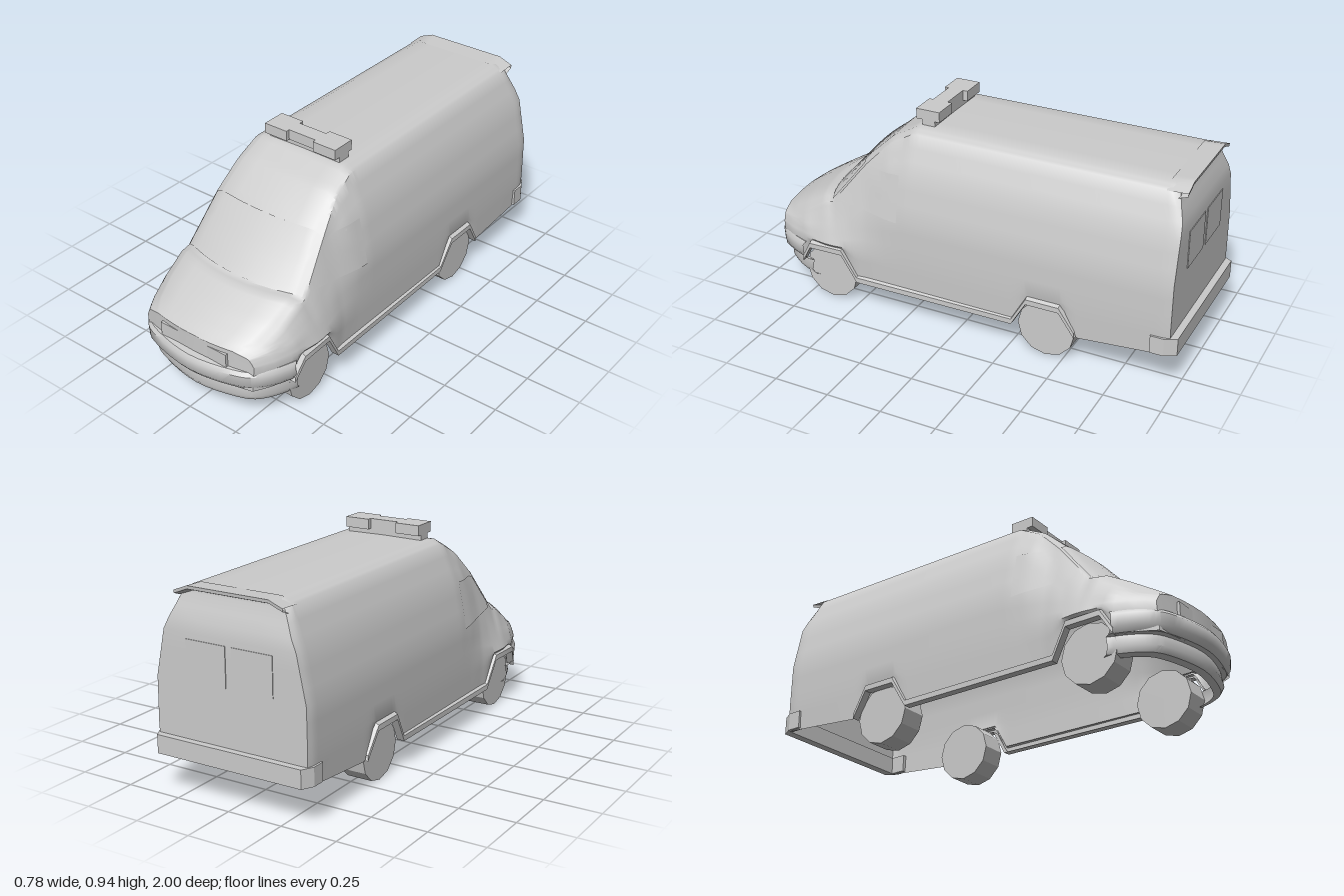
import * as THREE from 'three';
import { toCreasedNormals } from 'three/addons/utils/BufferGeometryUtils.js';

const mat = new THREE.MeshStandardMaterial({ color: 0xcccccc, side: THREE.DoubleSide });
const { lerp, clamp, smoothstep } = THREE.MathUtils;

// Body sections from tail to nose:
// station, backward bend, roof y, roof x, shoulder x/y, mid x/y, waist x/y, belt x, bottom x
const SECTIONS = [
  [-0.97, 0, 0.86, 0.20, 0.24, 0.84, 0.312, 0.69, 0.354, 0.49, 0.357, 0.352],
  [-0.94, 0, 0.87, 0.21, 0.25, 0.85, 0.32, 0.69, 0.362, 0.49, 0.365, 0.36],
  [0.25, 0, 0.87, 0.21, 0.25, 0.85, 0.32, 0.69, 0.362, 0.49, 0.365, 0.36],
  [0.37, 0.02, 0.81, 0.22, 0.26, 0.79, 0.315, 0.67, 0.358, 0.47, 0.365, 0.36],
  [0.50, 0.04, 0.70, 0.24, 0.285, 0.675, 0.31, 0.58, 0.345, 0.45, 0.368, 0.36],
  [0.60, 0.055, 0.59, 0.26, 0.30, 0.57, 0.325, 0.49, 0.35, 0.40, 0.378, 0.365],
  [0.70, 0.07, 0.485, 0.27, 0.315, 0.468, 0.335, 0.42, 0.36, 0.36, 0.385, 0.37],
  [0.74, 0.07, 0.482, 0.27, 0.317, 0.46, 0.34, 0.41, 0.36, 0.36, 0.385, 0.37],
  [0.84, 0.07, 0.425, 0.26, 0.315, 0.395, 0.335, 0.37, 0.355, 0.34, 0.37, 0.355],
  [0.92, 0.07, 0.375, 0.24, 0.295, 0.345, 0.31, 0.335, 0.32, 0.32, 0.335, 0.32],
  [0.96, 0.05, 0.345, 0.20, 0.26, 0.33, 0.27, 0.325, 0.28, 0.31, 0.29, 0.28],
];
const WHEELS = [0.64, -0.42];

function sectionAt(s) {
  let i = 0;
  while (i < SECTIONS.length - 2 && s > SECTIONS[i + 1][0]) i++;
  const a = SECTIONS[i], b = SECTIONS[i + 1];
  const t = clamp((s - a[0]) / (b[0] - a[0]), 0, 1);
  return a.map((v, k) => lerp(v, b[k], t));
}

// Lower body edge, raised over the wheels
function bottomY(z) {
  let y = z > 0.72 ? 0.17 : z < -0.5 ? lerp(0.13, 0.17, (-0.5 - z) / 0.47) : 0.13;
  for (const w of WHEELS) y = Math.max(y, lerp(0.27, 0.13, clamp((Math.abs(z - w) - 0.08) / 0.07, 0, 1)));
  return y;
}

function halfProfile(s) {
  const [, bend, T, tx, sx, sy, mx, my, wx, wy, bx, ox] = sectionAt(s);
  const z = s - bend * (ox / 0.32) ** 2;
  return [[0, T + 0.003], [tx, T], [sx, sy], [mx, my], [wx, wy], [bx, 0.29], [ox, bottomY(z)]];
}

// Point on the body: u runs over the roof from -6 (right sill) to 6 (left sill)
function bodyPoint(s, u, squeeze = 1) {
  const pts = halfProfile(s), k = Math.min(5, Math.floor(Math.abs(u))), t = Math.abs(u) - k;
  const x = Math.sign(u) * lerp(pts[k][0], pts[k + 1][0], t) * squeeze;
  const y = lerp(pts[k][1], pts[k + 1][1], t);
  const tilt = 0.04 * smoothstep(y, 0.7, 0.87) * clamp((-0.8 - s) / 0.17, 0, 1);
  return [x, y, s - sectionAt(s)[1] * (x / 0.32) ** 2 + tilt];
}

function uAtHeight(s, y) {
  const p = halfProfile(s);
  for (let k = 1; k < 6; k++) if (y >= p[k + 1][1]) return k + clamp((p[k][1] - y) / (p[k][1] - p[k + 1][1]), 0, 1);
  return 6;
}

// Grid surface from a rule fn(i, j) returning a point
function surface(nu, nv, fn, crease = 0.7) {
  const pos = [], idx = [];
  for (let j = 0; j <= nv; j++) for (let i = 0; i <= nu; i++) pos.push(...fn(i, j));
  for (let j = 0; j < nv; j++) for (let i = 0; i < nu; i++) {
    const a = j * (nu + 1) + i, c = a + nu + 1;
    idx.push(a, c, a + 1, a + 1, c, c + 1);
  }
  const g = new THREE.BufferGeometry();
  g.setAttribute('position', new THREE.Float32BufferAttribute(pos, 3));
  g.setIndex(idx);
  return toCreasedNormals(g, crease);
}

export function createModel() {
  const van = new THREE.Group();
  van.name = 'van';
  const add = (name, geo, x = 0, y = 0, z = 0) => {
    const m = new THREE.Mesh(geo, mat);
    m.name = name;
    m.position.set(x, y, z);
    van.add(m);
    return m;
  };
  const box = (name, w, h, d, x, y, z) => add(name, new THREE.BoxGeometry(w, h, d), x, y, z);

  // Body shell, open below, with closed tail and nose
  const rows = [];
  for (const q of [0, 0.5]) rows.push([-0.97, q]);
  for (let i = 0; i <= 96; i++) rows.push([lerp(-0.97, 0.96, i / 96), 1]);
  for (const q of [0.75, 0.5, 0.25, 0]) rows.push([0.96, q]);
  add('bodyShell', surface(36, rows.length - 1, (i, j) => bodyPoint(rows[j][0], (i - 18) / 3, rows[j][1])));

  // Windscreen lying on the sloping front
  add('windscreen', surface(16, 8, (i, j) => {
    const p = bodyPoint(lerp(0.505, 0.695, j / 8), lerp(-1.8, 1.8, i / 16));
    return [p[0], p[1] + 0.003, p[2] + 0.003];
  }));

  // Cab side windows
  for (const side of [-1, 1]) {
    add(side > 0 ? 'leftCabWindow' : 'rightCabWindow', surface(4, 10, (i, j) => {
      const s = lerp(0.29, 0.64, j / 10);
      const top = Math.min(lerp(0.68, 0.66, j / 10), sectionAt(s)[5] - 0.015);
      const y = lerp(top, lerp(0.47, 0.49, j / 10), (side > 0 ? i : 4 - i) / 4);
      const p = bodyPoint(s, side * uAtHeight(s, y));
      return [p[0] + side * 0.003, p[1], p[2]];
    }));
  }

  // Front bumper and air dam, swept around the nose
  const half = [[0.2, 0.965], [0.28, 0.93], [0.335, 0.86], [0.375, 0.765]];
  const plan = new THREE.CatmullRomCurve3([
    ...half.map(([x, z]) => new THREE.Vector3(-x, 0, z)).reverse(),
    new THREE.Vector3(0, 0, 0.998),
    ...half.map(([x, z]) => new THREE.Vector3(x, 0, z)),
  ]);
  const bumper = [[0.27, 0.06], [0.262, 0.012], [0.245, 0], [0.195, 0.003], [0.172, 0.02], [0.168, 0.04], [0.12, 0.032], [0.095, 0.045], [0.088, 0.075]];
  add('frontBumper', surface(32, bumper.length - 1, (i, j) => {
    const p = plan.getPoint(i / 32), [y, inset] = bumper[j];
    return [p.x * (1 - 1.6 * inset), y, p.z - inset];
  }));
  box('grillePlate', 0.35, 0.065, 0.03, 0, 0.292, 0.942);

  // Wheel arch trims joined by the sill: z, y, outer x
  const trim = [[0.77, 0.18, 0.375], [0.72, 0.265, 0.388], [0.56, 0.265, 0.384], [0.49, 0.14, 0.375], [-0.27, 0.14, 0.37], [-0.34, 0.26, 0.378], [-0.49, 0.26, 0.378], [-0.56, 0.15, 0.37]];
  const lip = [[-0.02, 0.018], [0, 0.008], [0, -0.016], [-0.035, -0.016]];
  for (const side of [-1, 1]) {
    add(side > 0 ? 'leftSillTrim' : 'rightSillTrim', surface(trim.length - 1, 3, (i, j) => {
      const [z, y, x] = trim[side > 0 ? trim.length - 1 - i : i];
      return [side * (x + lip[j][0]), y + lip[j][1], z];
    }, 0.4));
  }

  // Twelve-sided wheels
  for (const z of WHEELS) for (const side of [-1, 1]) {
    const g = new THREE.CylinderGeometry(0.13, 0.13, 0.115, 12).rotateZ(Math.PI / 2);
    const name = (z > 0 ? 'front' : 'rear') + (side > 0 ? 'Left' : 'Right') + 'Wheel';
    add(name, toCreasedNormals(g, 0.3), side * 0.2825, 0.128, z);
  }

  // Rear bumper wrapping the tail corners
  const u = new THREE.Shape([[-0.372, 0.89], [-0.372, 0.95], [-0.345, 1], [0.345, 1], [0.372, 0.95], [0.372, 0.89], [0.345, 0.89], [0.345, 0.96], [-0.345, 0.96], [-0.345, 0.89]]
    .map(([x, y]) => new THREE.Vector2(x, -y)));
  const rear = new THREE.ExtrudeGeometry(u, { depth: 0.08, bevelEnabled: false });
  rear.rotateX(-Math.PI / 2).scale(1, 1, -1);
  // Mirroring turned the faces over, so swap two corners of each triangle
  const rp = rear.attributes.position;
  for (let i = 0; i < rp.count; i += 3) {
    const a = new THREE.Vector3().fromBufferAttribute(rp, i), b = new THREE.Vector3().fromBufferAttribute(rp, i + 1);
    rp.setXYZ(i, b.x, b.y, b.z);
    rp.setXYZ(i + 1, a.x, a.y, a.z);
  }
  rear.computeVertexNormals();
  rear.computeBoundingBox();
  add('rearBumper', rear, 0, 0.17, -1 - rear.boundingBox.min.z);

  // Roof-edge spoiler with drooping ends
  const visor = [[0.002, -0.88], [0.006, -0.97], [-0.008, -0.968], [-0.022, -0.93]];
  add('rearSpoiler', surface(16, 3, (i, j) => {
    const x = lerp(-0.255, 0.255, i / 16);
    return [x, 0.872 + visor[j][0] - 0.025 * smoothstep(Math.abs(x), 0.19, 0.255), visor[j][1]];
  }));

  // Rear door windows
  for (const side of [-1, 1]) box(side > 0 ? 'leftRearWindow' : 'rightRearWindow', 0.19, 0.17, 0.01, side * 0.11, 0.58, -0.968);

  // Roof light bar
  box('lightBarFoot', 0.37, 0.03, 0.06, 0, 0.88, 0.21);
  box('lightBarCentre', 0.14, 0.046, 0.07, 0, 0.917, 0.215);
  for (const side of [-1, 1]) box(side > 0 ? 'leftLamp' : 'rightLamp', 0.115, 0.046, 0.11, side * 0.1275, 0.917, 0.213);

  return van;
}
